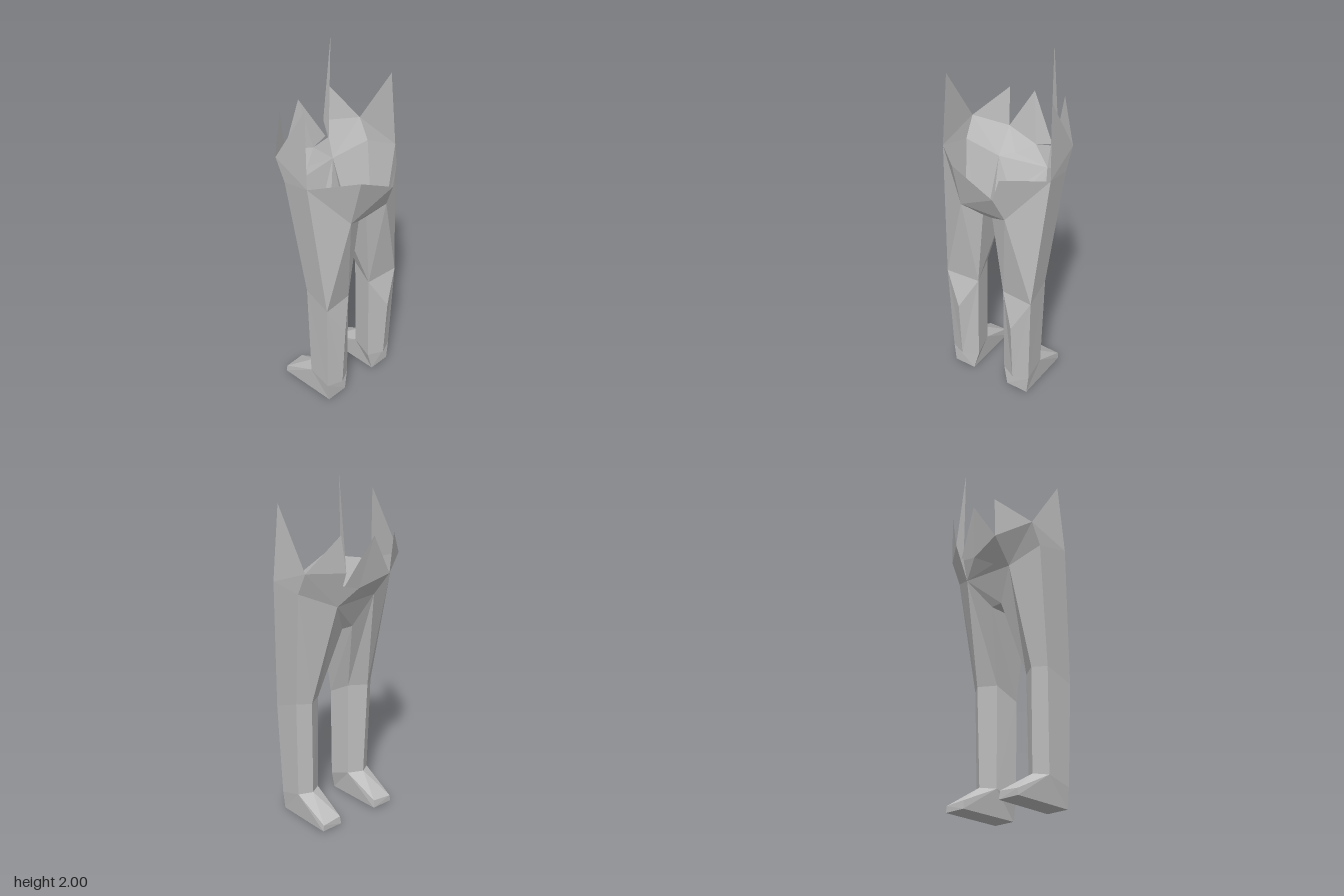
import * as THREE from 'three';

const grey = new THREE.MeshStandardMaterial({ color: 0xbcbcbc, flatShading: true, side: THREE.DoubleSide });
grey.name = 'plain grey';

// Open faceted shell from polygons of [x, y, z] corners, fanned from the first corner
function shell(name, polygons) {
  const pos = [];
  for (const p of polygons)
    for (let i = 1; i < p.length - 1; i++) pos.push(...p[0], ...p[i], ...p[i + 1]);
  const geo = new THREE.BufferGeometry();
  geo.setAttribute('position', new THREE.Float32BufferAttribute(pos, 3));
  geo.computeVertexNormals();
  const mesh = new THREE.Mesh(geo, grey);
  mesh.name = name;
  return mesh;
}

// Corners shared by both halves; s = +1 for left, -1 for right
function corners(s) {
  const v = (x, y, z) => [s * x, y, z];
  return {
    // hip and crotch
    waist: v(0.34, 1.41, 0.1), spike: v(0.32, 1.82, 0.075), dip: v(0.32, 1.5, -0.14),
    hip: v(0.32, 1.38, -0.08), groin: v(0.145, 1.3, s > 0 ? -0.18 : -0.14),
    crotchFront: v(0.035, 1.13, -0.09), crotchBack: v(0.03, 1.12, 0.17), seat: v(0.14, 1.17, 0.215),
    seatTop: s > 0 ? [0.145, 1.43, 0.27] : [-0.14, 1.43, 0.28],
    // knee
    kneeOB: v(0.283, 0.66, 0.175), kneeIB: v(0.085, 0.65, 0.15), kneeIF: v(0.11, 0.72, 0.025),
    kneeF: v(0.203, 0.72, -0.035), kneeOF: v(0.272, 0.72, 0.015), calf: v(0.18, 0.47, 0.215),
    // ankle
    ankOB: v(0.267, 0.11, 0.16), ankB: v(0.18, 0.11, 0.195), ankIB: v(0.092, 0.11, 0.15),
    ankIF: v(0.115, 0.15, 0.03), ankF: v(0.19, 0.16, -0.022), ankOF: v(0.26, 0.15, 0.025),
    // foot
    heelO: v(0.255, 0, 0.16), heelI: v(0.12, 0, 0.16), soleO: v(0.255, 0.01, -0.19), soleI: v(0.125, 0.01, -0.19),
    toeO: v(0.25, 0.045, -0.19), toeI: v(0.13, 0.055, -0.185),
  };
}

function leg(c, side) {
  const g = new THREE.Group();
  g.name = side + 'Leg';
  g.add(shell(side + 'Thigh', [
    [c.waist, c.hip, c.kneeOF, c.kneeOB],
    [c.hip, c.groin, c.kneeF, c.kneeOF],
    [c.groin, c.kneeIF, c.kneeF],
    [c.groin, c.crotchFront, c.kneeIF],
    [c.crotchFront, c.crotchBack, c.kneeIB, c.kneeIF],
    [c.crotchBack, c.seat, c.kneeIB],
    [c.seat, c.kneeOB, c.kneeIB],
    [c.seat, c.waist, c.kneeOB],
  ]));
  g.add(shell(side + 'Shin', [
    [c.kneeOB, c.calf, c.kneeIB],
    [c.kneeOB, c.ankOB, c.ankB, c.calf],
    [c.kneeIB, c.calf, c.ankB, c.ankIB],
    [c.kneeIB, c.ankIB, c.ankIF, c.kneeIF],
    [c.kneeIF, c.ankIF, c.ankF, c.kneeF],
    [c.kneeF, c.ankF, c.ankOF, c.kneeOF],
    [c.kneeOF, c.ankOF, c.ankOB, c.kneeOB],
    [c.ankOB, c.ankIB, c.ankB],
  ]));
  g.add(shell(side + 'Foot', [
    [c.ankOB, c.heelO, c.heelI, c.ankIB],
    [c.ankOF, c.ankOB, c.heelO, c.soleO, c.toeO],
    [c.ankIF, c.toeI, c.soleI, c.heelI, c.ankIB],
    [c.ankF, c.ankOF, c.toeO],
    [c.ankF, c.toeO, c.toeI],
    [c.ankF, c.toeI, c.ankIF],
    [c.toeO, c.soleO, c.soleI, c.toeI],
    [c.heelO, c.heelI, c.soleI, c.soleO],
  ]));
  g.add(shell(side + 'HipSpike', [[c.waist, c.spike, c.dip, c.hip]]));
  return g;
}

export function createModel() {
  const model = new THREE.Group();
  model.name = 'brokenLegs';
  const l = corners(1), r = corners(-1);
  model.add(leg(l, 'left'), leg(r, 'right'));

  // Seat with its torn upper edge
  const tear = [0.11, 1.31, 0.28];
  model.add(shell('seat', [
    [r.waist, r.seatTop, r.seat],
    [r.seatTop, tear, r.seat],
    [tear, l.seat, r.seat],
    [tear, l.seatTop, l.seat],
    [l.seatTop, l.waist, l.seat],
  ]));

  // Underside between the legs
  model.add(shell('crotch', [
    [r.seat, l.seat, l.crotchBack, r.crotchBack],
    [r.crotchBack, l.crotchBack, l.crotchFront, r.crotchFront],
    [r.crotchFront, l.crotchFront, l.groin, r.groin],
  ]));

  // Belly wall with jagged peaks
  const rValley = [-0.15, 1.44, -0.25], lValley = [0.145, 1.42, -0.21], middle = [0.04, 1.39, -0.225];
  const fold = [-0.06, 1.33, -0.175], lRim = [0.155, 1.5, -0.26];
  model.add(shell('belly', [
    [r.groin, rValley, fold],
    [rValley, middle, fold],
    [fold, middle, l.groin],
    [middle, lValley, l.groin],
    [r.groin, fold, l.groin],
    [r.dip, rValley, r.groin, r.hip],
    [l.dip, lRim, l.groin, l.hip],
    [lRim, lValley, l.groin],
  ]));
  model.add(shell('bellyPeaks', [
    [r.dip, [-0.16, 1.66, -0.267], rValley],
    [rValley, [-0.01, 1.67, -0.283], middle],
    [middle, [-0.01, 1.67, -0.283], [0.14, 1.42, -0.23]],
    [l.dip, [0.19, 1.7, -0.26], lRim],
  ]));
  model.add(shell('needle', [[[0.153, 2, -0.2], lRim, lValley]]));
  return model;
}
